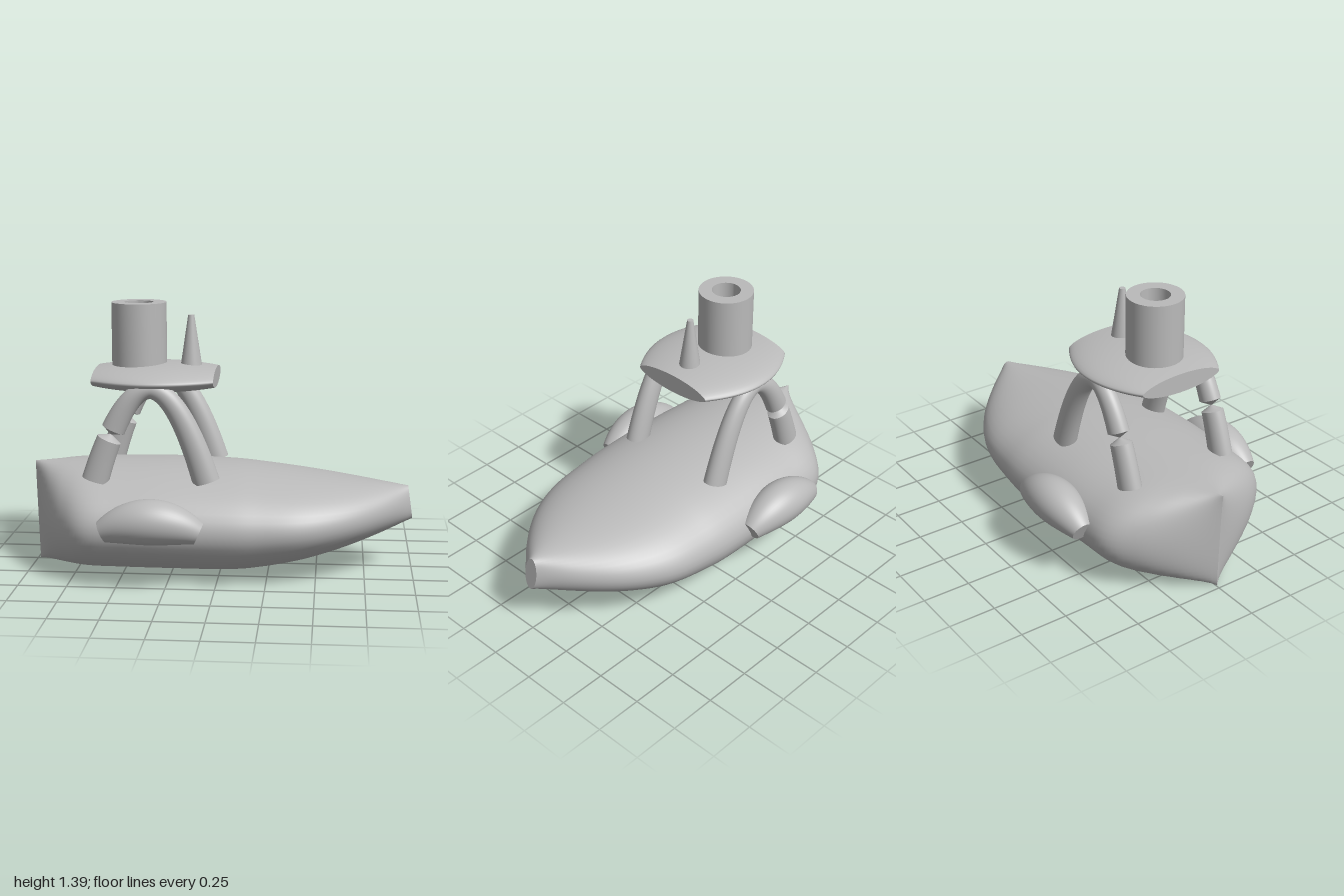
import * as THREE from 'three';
import { toCreasedNormals } from 'three/addons/utils/BufferGeometryUtils.js';

const SIDES = 48;

// Skins elliptical sections running towards +x.
// Each section: { low: [x, y], high: [x, y], w: half width in z }.
// power > 1 sharpens the two side edges of the section.
function loft(sections, power = 1, caps = true) {
  const pos = [], idx = [];
  const addRing = (s) => {
    const start = pos.length / 3;
    for (let j = 0; j < SIDES; j++) {
      const a = (j / SIDES) * Math.PI * 2;
      const sn = Math.sin(a);
      const k = (1 + Math.sign(sn) * Math.pow(Math.abs(sn), power)) / 2;
      pos.push(
        s.low[0] + (s.high[0] - s.low[0]) * k,
        s.low[1] + (s.high[1] - s.low[1]) * k,
        s.w * Math.cos(a)
      );
    }
    return start;
  };
  const rings = sections.map(addRing);
  for (let i = 0; i < rings.length - 1; i++) {
    for (let j = 0; j < SIDES; j++) {
      const n = (j + 1) % SIDES;
      const a = rings[i] + j, b = rings[i + 1] + j;
      const c = rings[i + 1] + n, d = rings[i] + n;
      idx.push(a, b, c, a, c, d);
    }
  }
  // flat end caps with their own vertices
  if (caps) {
    [sections[0], sections[sections.length - 1]].forEach((s, end) => {
      const r = addRing(s);
      const centre = pos.length / 3;
      pos.push((s.low[0] + s.high[0]) / 2, (s.low[1] + s.high[1]) / 2, 0);
      for (let j = 0; j < SIDES; j++) {
        const n = (j + 1) % SIDES;
        if (end) idx.push(centre, r + n, r + j);
        else idx.push(centre, r + j, r + n);
      }
    });
  }
  const g = new THREE.BufferGeometry();
  g.setAttribute('position', new THREE.Float32BufferAttribute(pos, 3));
  g.setIndex(idx);
  g.computeVertexNormals();
  return g;
}

// Section square to a path with the given slope dy/dx
function sectionAt(x, y, slope, r, w) {
  const l = Math.hypot(1, slope);
  const nx = (-slope / l) * r, ny = r / l;
  return { low: [x - nx, y - ny], high: [x + nx, y + ny], w };
}

const range = (a, b, n) => Array.from({ length: n + 1 }, (_, i) => a + ((b - a) * i) / n);

// Section of the arched strut, t from -1 (rear foot) to 1 (front foot)
function strutSection(t, scale = 1) {
  const x = -0.345 + 0.285 * t;
  const y = 0.975 - 0.47 * t * t;
  const slope = (-0.94 * t) / 0.285;
  const r = 0.045 + 0.025 * Math.abs(t), w = 0.043 + 0.013 * Math.abs(t);
  return sectionAt(x, y, slope, r * scale, w * scale);
}

export function createModel() {
  const model = new THREE.Group();
  const grey = new THREE.MeshStandardMaterial({ color: 0xbababa });
  grey.name = 'grey';

  const add = (name, geometry, x = 0, y = 0, z = 0) => {
    const mesh = new THREE.Mesh(geometry, grey);
    mesh.name = name;
    mesh.position.set(x, y, z);
    model.add(mesh);
    return mesh;
  };

  // Hull keys: x, bottom y, top y, half width
  const keys = [
    [-1, 0.004, 0.54, 0.004], [-0.9, 0.003, 0.546, 0.225], [-0.8, 0.002, 0.552, 0.385],
    [-0.68, 0.001, 0.556, 0.488], [-0.5, 0, 0.559, 0.508], [-0.25, 0, 0.56, 0.52],
    [0.05, 0.002, 0.55, 0.518], [0.22, 0.02, 0.534, 0.503], [0.4, 0.056, 0.512, 0.477],
    [0.55, 0.097, 0.493, 0.42], [0.7, 0.145, 0.474, 0.325], [0.85, 0.2, 0.456, 0.19],
    [1, 0.265, 0.44, 0.04],
  ];
  const curve = (f) =>
    new THREE.CatmullRomCurve3(keys.map((k) => new THREE.Vector3(...f(k))), false, 'catmullrom', 0.5);
  const keel = curve(([x, b, , w]) => [x < -0.95 ? -0.985 : x, b, w]);
  const ridge = curve(([x, , t]) => [x > 0.95 ? 0.975 : x, t, 0]);
  add('hull', loft(range(0, 1, 72).map((t) => {
    const a = keel.getPoint(t), b = ridge.getPoint(t);
    return { low: [a.x, a.y], high: [b.x, b.y], w: Math.max(a.z, 0.003) };
  })));

  // Lens-shaped platform with cut ends
  add('platform', loft(range(-1, 1, 24).map((t) => {
    const x = -0.343 + 0.313 * t;
    const h = 0.073 - 0.023 * t * t;
    return { low: [x, 1.005 - h], high: [x, 1.005 + h], w: 0.345 - 0.113 * t * t };
  }), 1.2));

  // Hollow funnel
  const profile = [[0.143, 1.02], [0.143, 1.39], [0.075, 1.39], [0.075, 1.06], [0, 1.06]];
  const funnel = new THREE.LatheGeometry(profile.map((p) => new THREE.Vector2(...p)), 48);
  add('funnel', toCreasedNormals(funnel, 0.6), -0.435);

  // Tapered mast
  add('mast', new THREE.CylinderGeometry(0.016, 0.059, 0.285, 32), -0.163, 1.1825);

  for (const side of [1, -1]) {
    const label = side > 0 ? 'Left' : 'Right';

    // Arched strut, broken near the rear foot by a pinched joint
    const z = 0.285 * side;
    add('strutArch' + label, loft(range(-0.66, 1, 40).map((t) => strutSection(t))), 0, 0, z);
    add('strutFoot' + label, loft(range(-1, -0.74, 8).map((t) => strutSection(t))), 0, 0, z);
    const lower = [strutSection(-0.74), strutSection(-0.7, 0.06)];
    const upper = [strutSection(-0.7, 0.06), strutSection(-0.66)];
    add('strutJointLower' + label, loft(lower, 1, false), 0, 0, z);
    add('strutJointUpper' + label, loft(upper, 1, false), 0, 0, z);

    // Bowed side pod, fat in the middle
    add('pod' + label, loft(range(-1, 1, 32).map((t) => {
      const r = 0.057 + 0.058 * (1 - t * t);
      return sectionAt(-0.32 + 0.243 * t, 0.35 - 0.055 * t * t, (-0.11 * t) / 0.243, r, r);
    })), 0, 0, 0.52 * side);
  }
  return model;
}
